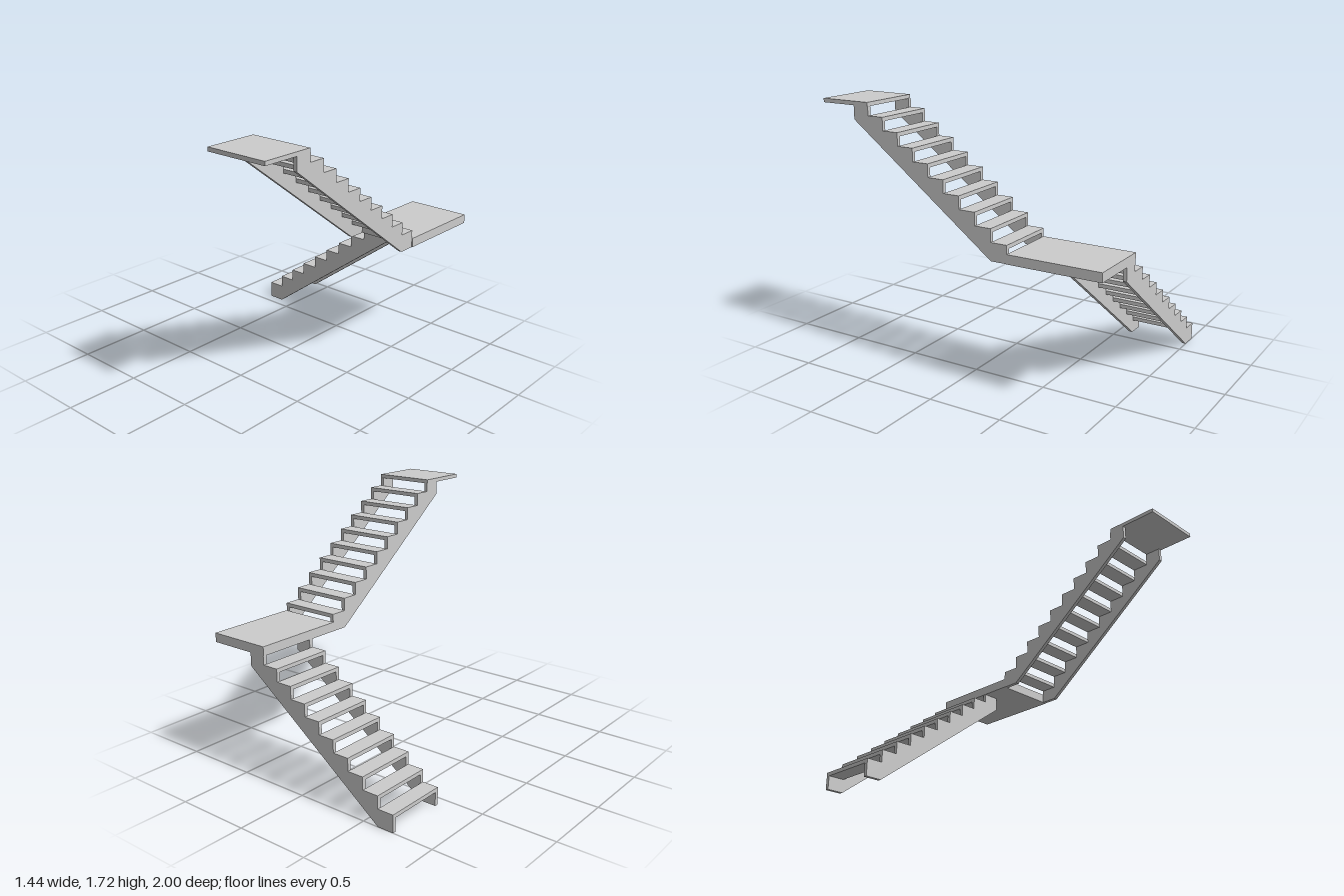
import * as THREE from 'three';

const STEPS = 10, RUN = 0.1124, RISE = 0.0842, FIRST = 0.116;
const TREAD = 0.026, WIDTH = 0.429, STRINGER = 0.025;
const material = new THREE.MeshStandardMaterial({ color: 0xcccccc, flatShading: true });

function addMesh(parent, name, geometry) {
  const mesh = new THREE.Mesh(geometry, material);
  mesh.name = name;
  parent.add(mesh);
  return mesh;
}

// Box given by its lower and upper corners
function addBox(parent, name, a, b) {
  const size = b.map((v, i) => v - a[i]);
  const mesh = addMesh(parent, name, new THREE.BoxGeometry(...size));
  mesh.position.set(...a.map((v, i) => v + size[i] / 2));
  return mesh;
}

// Saw-toothed side board with a sloping underside, cut to sit below the treads
function stringerGeometry() {
  const shape = new THREE.Shape();
  shape.moveTo(0, 0);
  shape.lineTo(RUN, 0);
  shape.lineTo(STEPS * RUN, (STEPS - 1) * RISE);
  for (let i = STEPS - 1; i >= 0; i--) {
    const y = FIRST + i * RISE - TREAD;
    shape.lineTo((i + 1) * RUN, y);
    shape.lineTo(i * RUN, y);
  }
  shape.closePath();
  return new THREE.ExtrudeGeometry(shape, { depth: STRINGER, bevelEnabled: false });
}

// Open-riser flight climbing along local +x; the platform forms the last step
function createFlight(name) {
  const flight = new THREE.Group();
  flight.name = name;
  const geometry = stringerGeometry();
  addMesh(flight, 'stringerA', geometry);
  addMesh(flight, 'stringerB', geometry).position.z = WIDTH - STRINGER;
  for (let i = 0; i < STEPS - 1; i++) {
    const y = FIRST + i * RISE;
    addBox(flight, 'tread' + (i + 1), [i * RUN, y - TREAD, 0], [(i + 1) * RUN, y, WIDTH]);
  }
  return flight;
}

export function createModel() {
  const model = new THREE.Group();
  model.name = 'cornerStaircase';

  // Lower flight, climbing towards +x along the back
  const lower = createFlight('lowerFlight');
  lower.position.set(-0.722, 0, -1);
  model.add(lower);

  // Corner landing
  addBox(model, 'landing', [0.286, 0.847, -1], [0.722, 0.908, -0.373]);

  // Upper flight, climbing towards +z
  const upper = createFlight('upperFlight');
  upper.rotation.y = -Math.PI / 2;
  upper.position.set(0.716, 0.846, -0.373);
  model.add(upper);

  // Top platform
  addBox(model, 'topPlatform', [0.287, 1.692, 0.643], [0.716, 1.718, 1]);

  return model;
}
